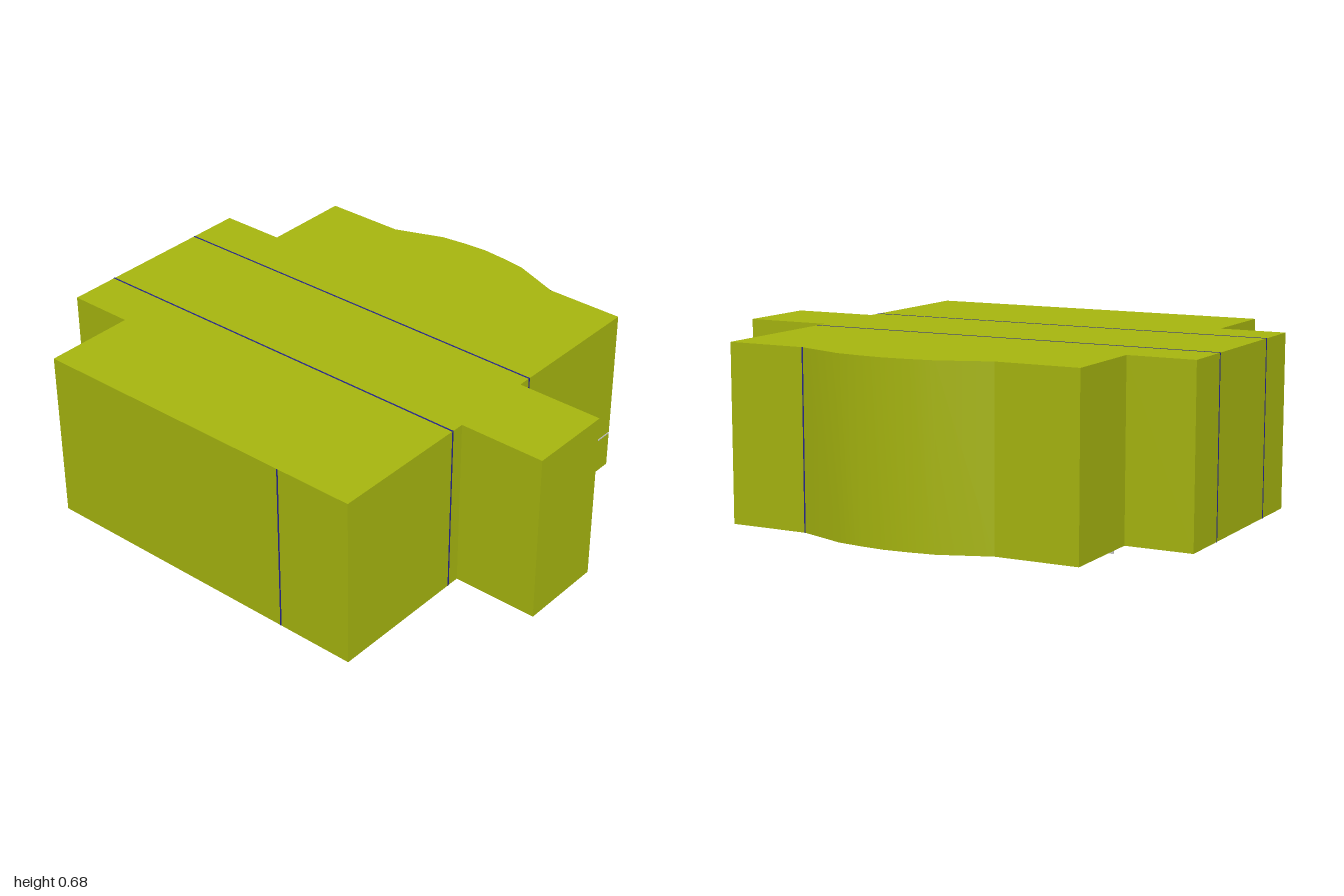
import * as THREE from 'three';
import { toCreasedNormals } from 'three/addons/utils/BufferGeometryUtils.js';

const TOP = 0.68, BASE = 0.01;
const green = new THREE.MeshStandardMaterial({ color: 0xa6b50f });
const blue = new THREE.MeshStandardMaterial({ color: 0x24248c });
const grey = new THREE.MeshStandardMaterial({ color: 0xcccccc });

// Upright block from a plan outline of [x, z] points
function block(name, points) {
  const shape = new THREE.Shape(points.map(([x, z]) => new THREE.Vector2(x, z)));
  const geo = new THREE.ExtrudeGeometry(shape, { depth: TOP - BASE, bevelEnabled: false });
  geo.rotateX(Math.PI / 2).translate(0, TOP, 0);
  const mesh = new THREE.Mesh(toCreasedNormals(geo, 0.6), green);
  mesh.name = name;
  return mesh;
}

// Box given by its minimum and maximum corners
function strip(name, material, [x0, y0, z0], [x1, y1, z1]) {
  const mesh = new THREE.Mesh(new THREE.BoxGeometry(x1 - x0, y1 - y0, z1 - z0), material);
  mesh.position.set((x0 + x1) / 2, (y0 + y1) / 2, (z0 + z1) / 2);
  mesh.name = name;
  return mesh;
}

export function createModel() {
  const model = new THREE.Group();
  model.name = 'building';

  // Main hall with a broad wing on one end and a narrow wing on the other
  model.add(block('mainBody', [
    [-0.74, -0.74], [0.66, -0.74], [0.66, -0.12], [1, -0.12], [1, 0.22], [0.66, 0.22],
    [0.66, 0.83], [-0.74, 0.83], [-0.74, 0.47], [-1, 0.47], [-1, -0.38], [-0.74, -0.38],
  ]));

  // Bowed bay on the back wall
  model.add(block('backBay', [
    [-0.42, -0.74], [-0.23, -0.812], [-0.135, -0.825], [-0.035, -0.833],
    [0.065, -0.825], [0.16, -0.812], [0.35, -0.74],
  ]));

  // Thin seams wrapping the body lengthwise
  const w = 0.003, p = 0.001;
  for (const z of [-0.173, 0.272]) {
    model.add(strip('lengthSeam', blue, [-1 - p, BASE - p, z - w], [0.66 + p, TOP + p, z + w]));
  }
  // Upright seam on the front and back walls
  for (const z of [-0.74, 0.83]) {
    model.add(strip('wallSeam', blue, [0.35 - w, BASE, z - p], [0.35 + w, TOP, z + p]));
  }

  // Ground strips with gaps between them
  for (const [a, b] of [[-0.74, -0.59], [-0.42, 0.35], [0.51, 0.66]]) {
    model.add(strip('groundStrip', grey, [a, 0, -0.473], [b, BASE, -0.467]));
  }

  // Slim trim on the end wall
  model.add(strip('trimPost', grey, [0.655, 0, -0.473], [0.662, 0.16, -0.467]));
  model.add(strip('trimRail', grey, [0.655, 0.156, -0.735], [0.662, 0.162, -0.467]));
  return model;
}
